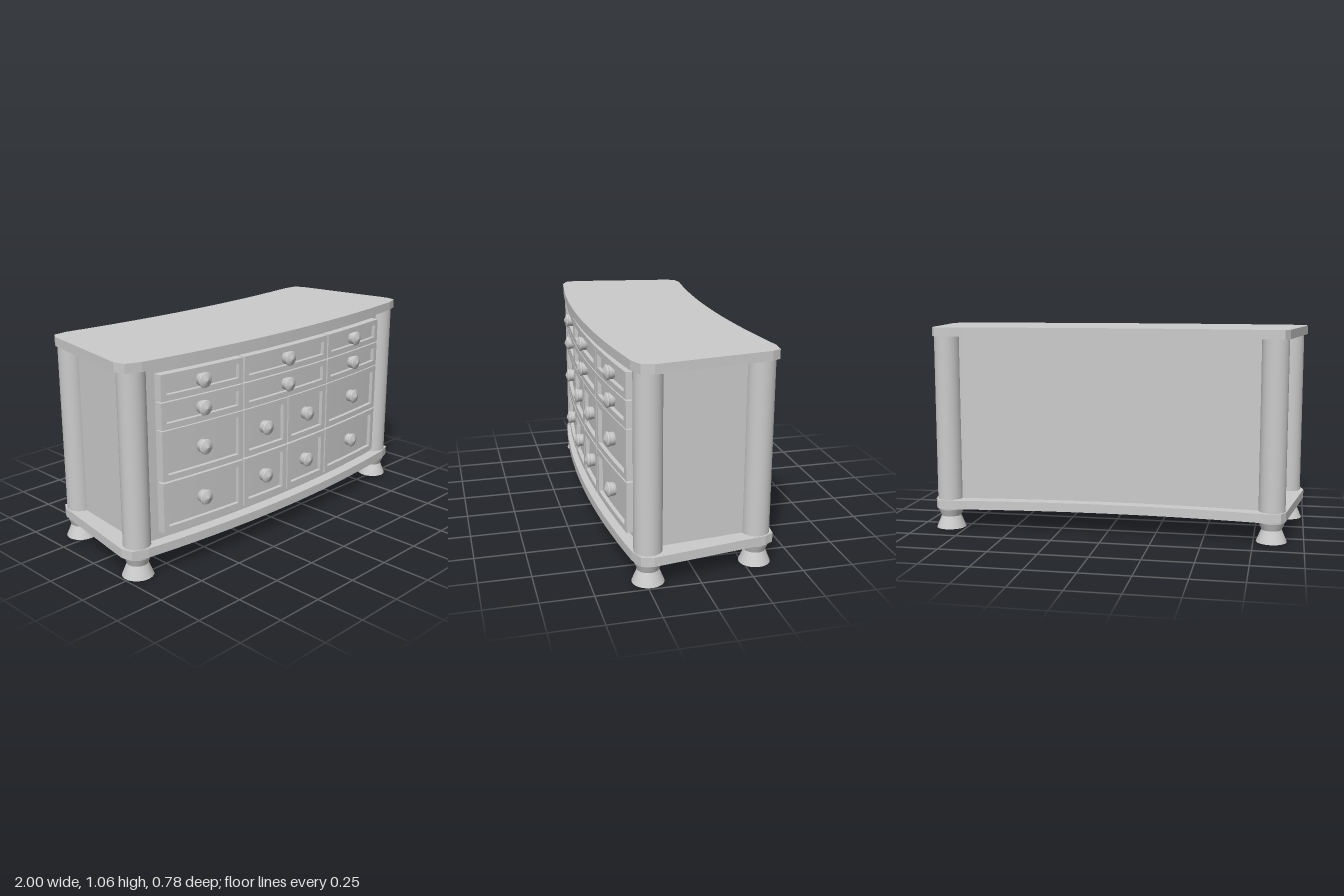
import * as THREE from 'three';
import { mergeGeometries } from 'three/addons/utils/BufferGeometryUtils.js';

const BOW = 0.077; // how strongly the front and back curve: z falls by BOW * x^2
const mat = new THREE.MeshStandardMaterial({ color: 0xcccccc });

function add(parent, name, geometry, x = 0, y = 0, z = 0) {
  const mesh = new THREE.Mesh(geometry, mat);
  mesh.name = name;
  mesh.position.set(x, y, z);
  parent.add(mesh);
  return mesh;
}

// Points along a bowed edge from x0 to x1, as plan [x, z]
function bowLine(x0, x1, zMid, bow, n = 20) {
  return Array.from({ length: n + 1 }, (_, i) => {
    const x = x0 + (x1 - x0) * i / n;
    return [x, zMid - bow * x * x];
  });
}

// Upright prism from a plan outline of [x, z]
function prism(plan, y0, y1) {
  const shape = new THREE.Shape(plan.map(([x, z]) => new THREE.Vector2(x, -z)));
  const g = new THREE.ExtrudeGeometry(shape, { depth: y1 - y0, bevelEnabled: false });
  return g.rotateX(-Math.PI / 2).translate(0, y0, 0);
}

// Box bent along the bow; z0 and z1 are its depths at x = 0
function bentBox(x0, x1, y0, y1, z0, z1) {
  const g = new THREE.BoxGeometry(x1 - x0, y1 - y0, z1 - z0, 8, 1, 1);
  g.translate((x0 + x1) / 2, (y0 + y1) / 2, (z0 + z1) / 2);
  const p = g.attributes.position;
  for (let i = 0; i < p.count; i++) p.setZ(i, p.getZ(i) - BOW * p.getX(i) ** 2);
  g.computeVertexNormals();
  return g;
}

// Drawer front: raised frame around a sunken panel, with a knob
function addDrawer(parent, x0, x1, y0, y1) {
  const drawer = new THREE.Group();
  drawer.name = 'drawer';
  parent.add(drawer);
  const f = 0.029, back = 0.3, face = 0.358, sunk = 0.338;
  add(drawer, 'drawerFrame', mergeGeometries([
    bentBox(x0, x0 + f, y0, y1, back, face),
    bentBox(x1 - f, x1, y0, y1, back, face),
    bentBox(x0 + f, x1 - f, y0, y0 + f, back, face),
    bentBox(x0 + f, x1 - f, y1 - f, y1, back, face),
  ]));
  add(drawer, 'drawerPanel', bentBox(x0 + f, x1 - f, y0 + f, y1 - f, back, sunk));

  const profile = [[0, -0.02], [0.031, -0.02], [0.034, 0.024], [0.034, 0.024], [0.038, 0.032],
    [0.038, 0.032], [0.036, 0.037], [0.036, 0.037], [0, 0.052]].map(([r, h]) => new THREE.Vector2(r, h));
  const x = (x0 + x1) / 2;
  const knob = add(drawer, 'knob', new THREE.LatheGeometry(profile, 20).rotateX(Math.PI / 2),
    x, (y0 + y1) / 2, sunk - BOW * x * x);
  knob.rotation.y = Math.atan(2 * BOW * x);
}

export function createModel() {
  const model = new THREE.Group();
  model.name = 'chestOfDrawers';

  // Base and top boards with clipped corners
  const board = [
    ...bowLine(-0.91, 0.91, 0.377, 0.08),
    [0.985, 0.283], [1, 0.225], [0.91, -0.34], [0.885, -0.383],
    ...bowLine(0.81, -0.81, -0.337, 0.083),
    [-0.885, -0.383], [-0.91, -0.34], [-1, 0.225], [-0.985, 0.283],
  ];
  add(model, 'baseBoard', prism(board, 0.11, 0.156));
  add(model, 'topBoard', prism(board, 1.01, 1.056));

  // Carcass between the boards
  add(model, 'body', prism([
    ...bowLine(-0.9, 0.9, 0.315, BOW),
    ...bowLine(0.84, -0.84, -0.272, BOW),
  ], 0.156, 1.01));

  // Corner columns and turned feet
  const foot = [[0, 0], [0.077, 0], [0.077, 0], [0.051, 0.063], [0.051, 0.063],
    [0.066, 0.1], [0.066, 0.1], [0.067, 0.112]].map(([r, h]) => new THREE.Vector2(r, h));
  for (const side of [-1, 1]) {
    for (const [x, z] of [[0.914, 0.234], [0.84, -0.311]]) {
      add(model, 'column', new THREE.CylinderGeometry(0.067, 0.067, 0.854, 32), side * x, 0.583, z);
      add(model, 'foot', new THREE.LatheGeometry(foot, 32), side * x, 0, z);
    }
  }

  // Two shallow and two deep rows of drawers
  const rows = [[0.846, 0.973, false], [0.709, 0.84, false], [0.456, 0.704, true], [0.196, 0.447, true]];
  for (const [y0, y1, deep] of rows) {
    addDrawer(model, -0.805, -0.32, y0, y1);
    addDrawer(model, 0.32, 0.805, y0, y1);
    if (deep) {
      addDrawer(model, -0.31, -0.004, y0, y1);
      addDrawer(model, 0.004, 0.31, y0, y1);
    } else {
      addDrawer(model, -0.31, 0.31, y0, y1);
    }
  }
  return model;
}
